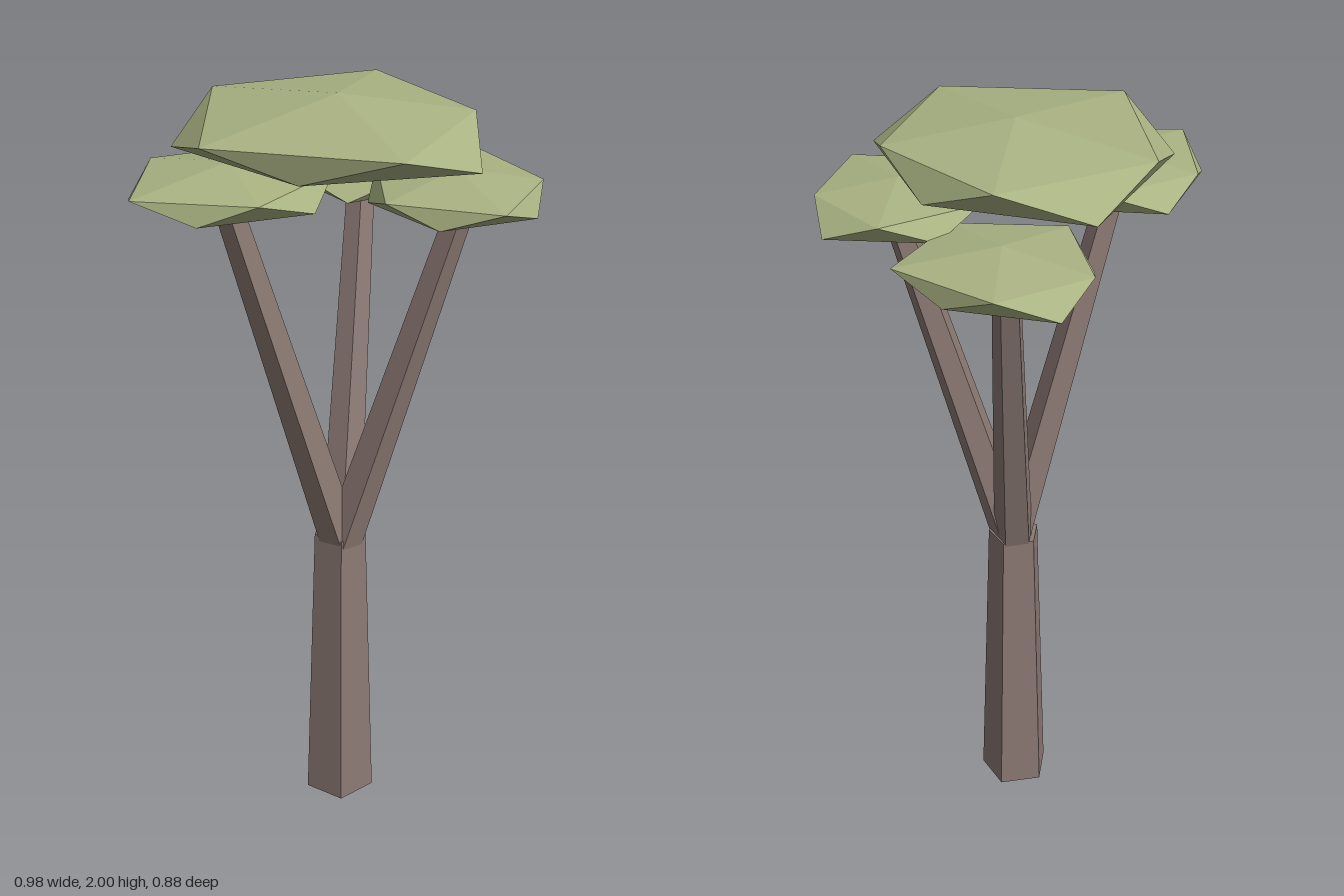
import * as THREE from 'three';

const bark = new THREE.MeshStandardMaterial({ color: 0x8c7a74, flatShading: true });
const leaf = new THREE.MeshStandardMaterial({ color: 0xa9b282, flatShading: true });

// Tapered five-sided limb between two points
function limb(name, from, to, r0, r1) {
  const a = new THREE.Vector3(...from), b = new THREE.Vector3(...to);
  const dir = b.clone().sub(a);
  const mesh = new THREE.Mesh(new THREE.CylinderGeometry(r1, r0, dir.length(), 5), bark);
  mesh.position.copy(a).add(b).multiplyScalar(0.5);
  mesh.quaternion.setFromUnitVectors(new THREE.Vector3(0, 1, 0), dir.normalize());
  mesh.name = name;
  return mesh;
}

// Flattened irregular icosahedron: ring holds ten [x, z] corners, alternately upper and lower
function foliage(name, [cx, cy, cz], ry, ring) {
  const top = [cx, cy + ry, cz], bottom = [cx, cy - ry, cz];
  const pts = ring.map(([x, z], i) => [x, cy + (i % 2 ? -0.45 : 0.45) * ry, z]);
  const pos = [];
  for (let i = 0; i < 10; i += 2) {
    const u0 = pts[i], l0 = pts[i + 1], u1 = pts[(i + 2) % 10], l1 = pts[(i + 3) % 10];
    pos.push(...top, ...u1, ...u0, ...u0, ...u1, ...l0, ...l0, ...u1, ...l1, ...l0, ...l1, ...bottom);
  }
  const geo = new THREE.BufferGeometry();
  geo.setAttribute('position', new THREE.Float32BufferAttribute(pos, 3));
  geo.computeVertexNormals();
  const mesh = new THREE.Mesh(geo, leaf);
  mesh.name = name;
  return mesh;
}

export function createModel() {
  const tree = new THREE.Group();
  tree.name = 'tree';

  // Trunk and the three branches that fork from its top
  tree.add(
    limb('trunk', [0.01, 0, 0.077], [0.01, 0.82, 0.077], 0.095, 0.07),
    limb('rightBranch', [0.01, 0.8, 0.09], [-0.262, 1.77, 0.16], 0.055, 0.036),
    limb('leftBranch', [0.015, 0.8, 0.09], [0.288, 1.74, 0.16], 0.055, 0.036),
    limb('backBranch', [0.012, 0.8, 0.07], [0.08, 1.71, -0.205], 0.055, 0.036),
  );

  // Canopy: a wide crown over one clump per branch
  tree.add(
    foliage('crown', [0.005, 1.915, 0.075], 0.085, [
      [0.33, 0.075], [0.32, 0.3], [0.13, 0.44], [-0.1, 0.36], [-0.32, 0.315],
      [-0.39, 0.075], [-0.29, -0.145], [-0.11, -0.305], [0.12, -0.26], [0.26, -0.11]]),
    foliage('rightFoliage', [-0.25, 1.81, 0.155], 0.058, [
      [-0.01, 0.155], [-0.06, 0.29], [-0.19, 0.38], [-0.33, 0.365], [-0.48, 0.325],
      [-0.49, 0.17], [-0.44, 0.035], [-0.34, -0.07], [-0.18, -0.05], [-0.06, 0.02]]),
    foliage('leftFoliage', [0.28, 1.783, 0.155], 0.056, [
      [0.485, 0.155], [0.455, 0.28], [0.365, 0.39], [0.22, 0.35], [0.1, 0.3],
      [0.07, 0.155], [0.1, 0.02], [0.22, -0.07], [0.36, -0.07], [0.485, 0.005]]),
    foliage('backFoliage', [0.09, 1.74, -0.2], 0.06, [
      [0.35, -0.2], [0.28, -0.07], [0.17, 0.02], [0.03, 0.04], [-0.1, -0.05],
      [-0.13, -0.2], [-0.1, -0.335], [0, -0.44], [0.15, -0.42], [0.25, -0.32]]),
  );
  return tree;
}
